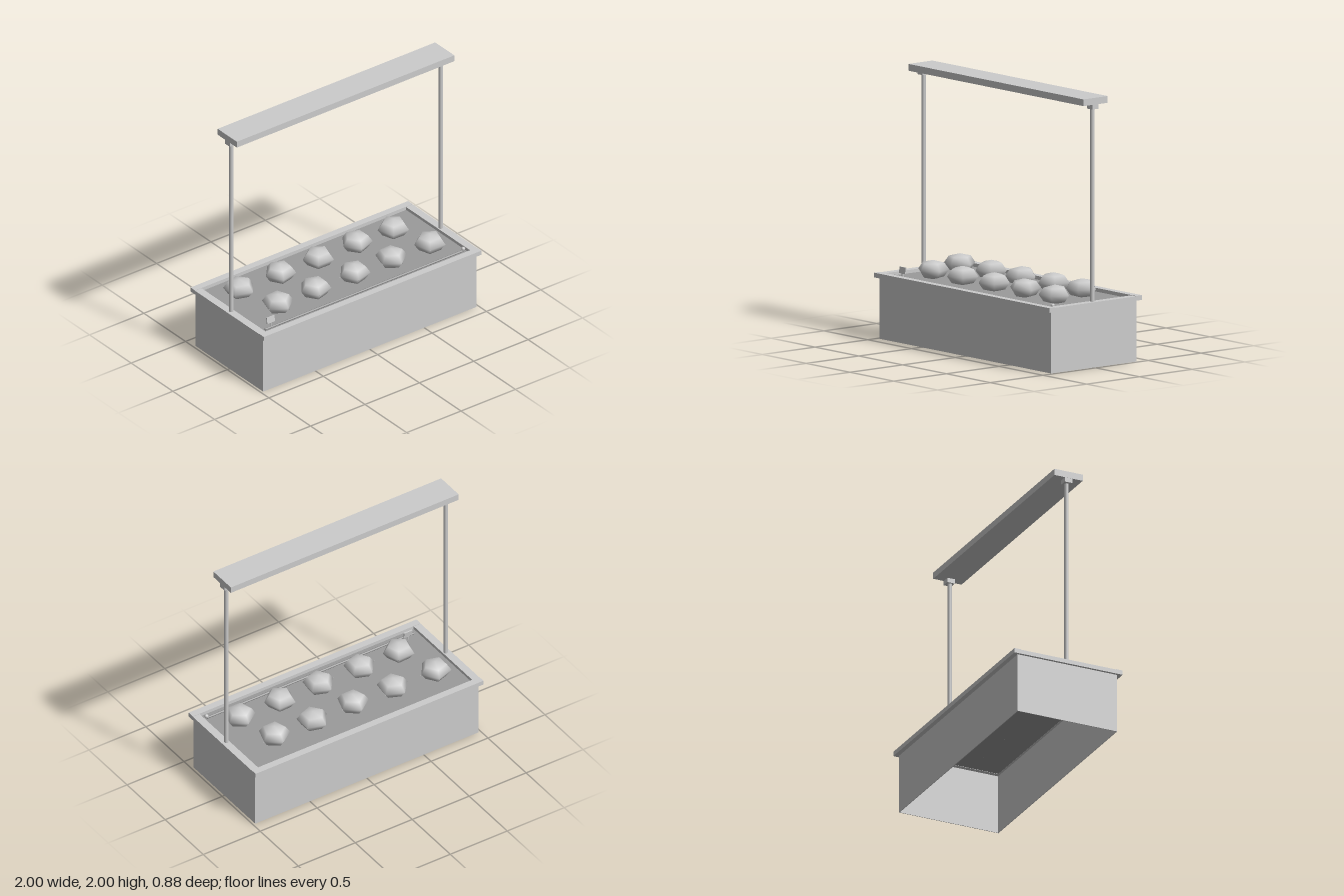
import * as THREE from 'three';

export function createModel() {
  const model = new THREE.Group();
  const mat = (name, color) => {
    const m = new THREE.MeshStandardMaterial({ color });
    m.name = name;
    return m;
  };
  const paleGrey = mat('pale grey', 0xcccccc);
  const soilGrey = mat('soil grey', 0x9b9b9b);

  const add = (name, geometry, material, x, y, z, parent = model) => {
    const mesh = new THREE.Mesh(geometry, material);
    mesh.name = name;
    mesh.position.set(x, y, z);
    parent.add(mesh);
    return mesh;
  };
  // Box given by its low and high corners
  const box = (name, a, b, material = paleGrey) => add(name,
    new THREE.BoxGeometry(b[0] - a[0], b[1] - a[1], b[2] - a[2]), material,
    (a[0] + b[0]) / 2, (a[1] + b[1]) / 2, (a[2] + b[2]) / 2);

  // Planter: thin walls, open underneath, with a rim around the soil
  for (const s of [-1, 1]) {
    const mid = s * 0.4025, end = s * 0.9775, rim = s * 0.4125, endRim = s * 0.97;
    box('longWall', [-0.98, 0, mid - 0.0025], [0.98, 0.46, mid + 0.0025]);
    box('endWall', [end - 0.0025, 0, -0.4], [end + 0.0025, 0.46, 0.4]);
    box('longRim', [-1, 0.455, rim - 0.0275], [1, 0.49, rim + 0.0275]);
    box('endRim', [endRim - 0.03, 0.455, -0.385], [endRim + 0.03, 0.487, 0.385]);
  }
  box('soil', [-0.975, 0.457, -0.4], [0.975, 0.463, 0.4], soilGrey);

  // Lamp on two posts
  box('lampPanel', [-1, 1.95, -0.115], [1, 2, 0.115]);
  const postGeo = new THREE.CylinderGeometry(0.016, 0.016, 1.46, 12);
  for (const s of [-1, 1]) {
    add('post', postGeo, paleGrey, s * 0.963, 1.19, 0);
    box('postBracket', [s * 0.968 - 0.031, 1.915, -0.03], [s * 0.968 + 0.031, 1.95, 0.03]);
  }

  // Plants: [x, z, angle of one corner in degrees]
  const plants = [
    [-0.755, -0.172, -72], [-0.39, -0.165, -103], [-0.04, -0.162, -90],
    [0.315, -0.168, -110], [0.65, -0.162, -90],
    [-0.66, 0.165, 87], [-0.32, 0.165, 110], [0.04, 0.165, 111],
    [0.385, 0.162, 87], [0.735, 0.165, 54],
  ];
  const headGeo = new THREE.SphereGeometry(0.12, 5, 4);
  headGeo.scale(1, 0.6, 1);
  const leafGeo = new THREE.ConeGeometry(0.006, 0.05, 4);
  leafGeo.rotateZ(-Math.PI / 2);
  for (const [x, z, corner] of plants) {
    const plant = new THREE.Group();
    plant.name = 'plant';
    plant.position.set(x, 0.528, z);
    plant.rotation.y = THREE.MathUtils.degToRad(180 - corner);
    model.add(plant);
    add('leafHead', headGeo, paleGrey, 0, 0, 0, plant);
    // Small leaf tips between the corners
    for (const k of [0, 2, 3]) {
      const a = ((k + 0.5) / 5) * Math.PI * 2;
      const tip = add('leafTip', leafGeo, paleGrey, Math.cos(a) * 0.105, 0, Math.sin(a) * 0.105, plant);
      tip.rotation.y = -a;
    }
  }

  // Watering pipe with an end cap
  const pipeGeo = new THREE.CylinderGeometry(0.008, 0.008, 1.82, 8);
  pipeGeo.rotateZ(Math.PI / 2);
  add('wateringPipe', pipeGeo, soilGrey, 0, 0.471, 0.335);
  add('pipeCap', new THREE.SphereGeometry(0.015, 10, 8), paleGrey, 0.913, 0.488, 0.335);

  // Plant marker leaning slightly on its stake
  const plate = box('markerPlate', [-0.87, 0.49, 0.3], [-0.8, 0.538, 0.309]);
  plate.rotation.x = -0.15;
  box('markerStake', [-0.84, 0.455, 0.303], [-0.83, 0.495, 0.311]);

  return model;
}
